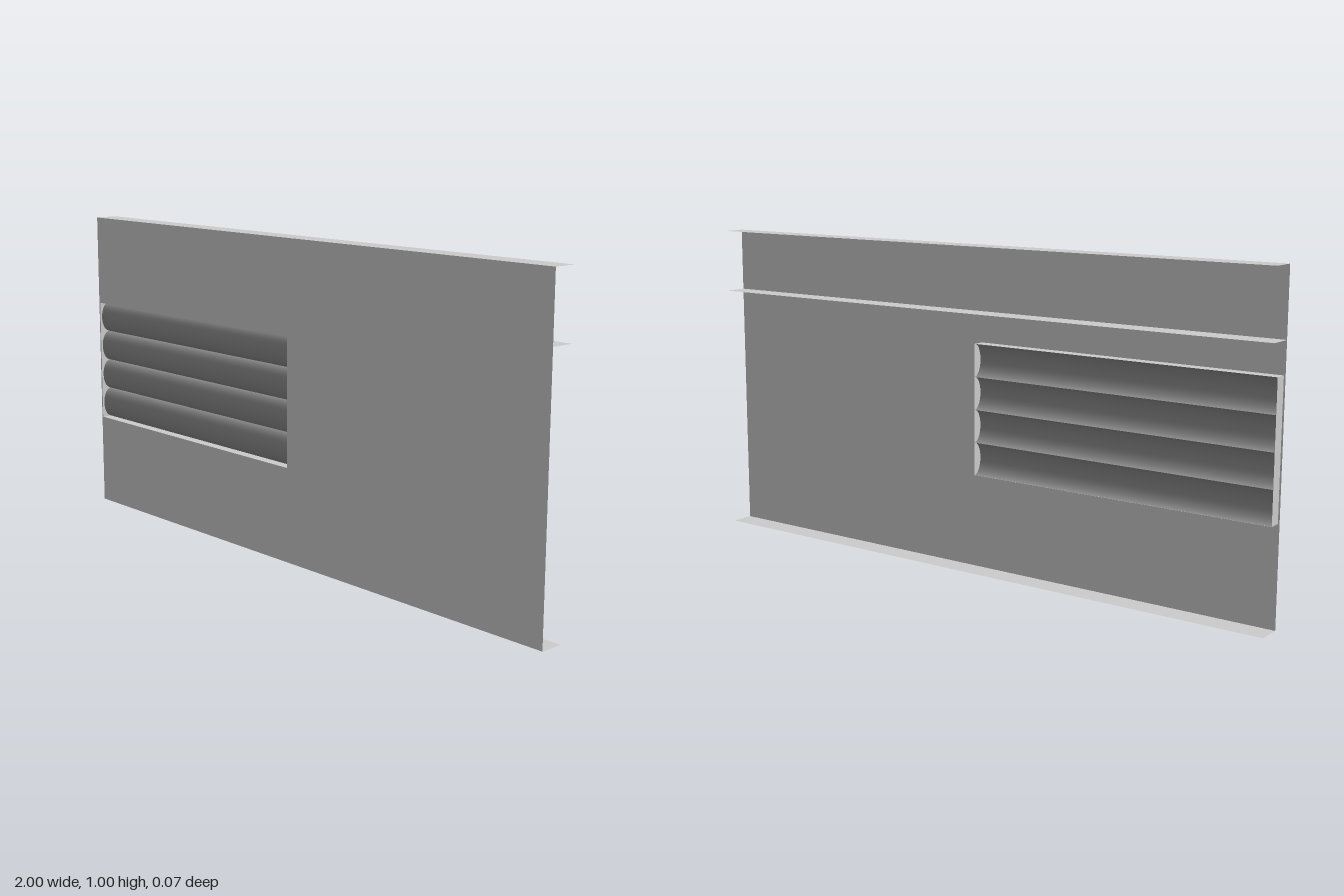
import * as THREE from 'three';

const FRONT = 0.037, BACK = -0.037; // panel plane and flange tips
const VENT = { x0: -0.995, x1: -0.007, y0: 0.30, y1: 0.705, back: 0 };

export function createModel() {
  const group = new THREE.Group();
  const sheet = new THREE.MeshStandardMaterial({ color: 0xcccccc, side: THREE.DoubleSide });
  const dark = new THREE.MeshStandardMaterial({ color: 0x8c8c8c, side: THREE.DoubleSide });
  const { x0, x1, y0, y1, back } = VENT;
  const midX = (x0 + x1) / 2, midY = (y0 + y1) / 2;

  const add = (name, geometry, material = sheet) => {
    const mesh = new THREE.Mesh(geometry, material);
    mesh.name = name;
    group.add(mesh);
    return mesh;
  };

  // Front sheet with the vent opening
  const outline = new THREE.Shape([[-1, 0], [1, 0], [1, 1], [-1, 1]].map(p => new THREE.Vector2(...p)));
  outline.holes.push(new THREE.Path([[x0, y0], [x0, y1], [x1, y1], [x1, y0]].map(p => new THREE.Vector2(...p))));
  add('frontPanel', new THREE.ShapeGeometry(outline).translate(0, 0, FRONT));

  // Horizontal flanges folded towards the back
  const flanges = { bottomFlange: 0, middleFlange: 0.8, topFlange: 1 };
  for (const [name, y] of Object.entries(flanges)) {
    add(name, new THREE.PlaneGeometry(2, FRONT - BACK).rotateX(-Math.PI / 2).translate(0, y, 0));
  }

  // Shallow frame around the vent, open at front and back
  const depth = FRONT - back, midZ = (FRONT + back) / 2;
  for (const [name, y, turn] of [['ventSill', y0, 1], ['ventHead', y1, -1]]) {
    add(name, new THREE.PlaneGeometry(x1 - x0, depth).rotateX(turn * Math.PI / 2).translate(midX, y, midZ));
  }
  for (const [name, x, turn] of [['ventRightJamb', x0, -1], ['ventLeftJamb', x1, 1]]) {
    add(name, new THREE.PlaneGeometry(depth, y1 - y0).rotateY(turn * Math.PI / 2).translate(x, midY, midZ));
  }

  // Four rounded slats: half-ellipses bulging forward, meeting at the back
  const slats = 4, steps = 16;
  const pitch = (y1 - y0) / slats, bulge = 0.03;
  for (let i = 0; i < slats; i++) {
    const slat = new THREE.PlaneGeometry(x1 - x0, pitch, 1, steps);
    const pos = slat.attributes.position;
    for (let v = 0; v < pos.count; v++) {
      const angle = (pos.getY(v) / pitch) * Math.PI;
      pos.setY(v, Math.sin(angle) * pitch / 2);
      pos.setZ(v, Math.cos(angle) * bulge);
    }
    slat.computeVertexNormals();
    add('louverSlat' + (i + 1), slat.translate(midX, y0 + (i + 0.5) * pitch, back + 0.001), dark);
  }
  return group;
}
